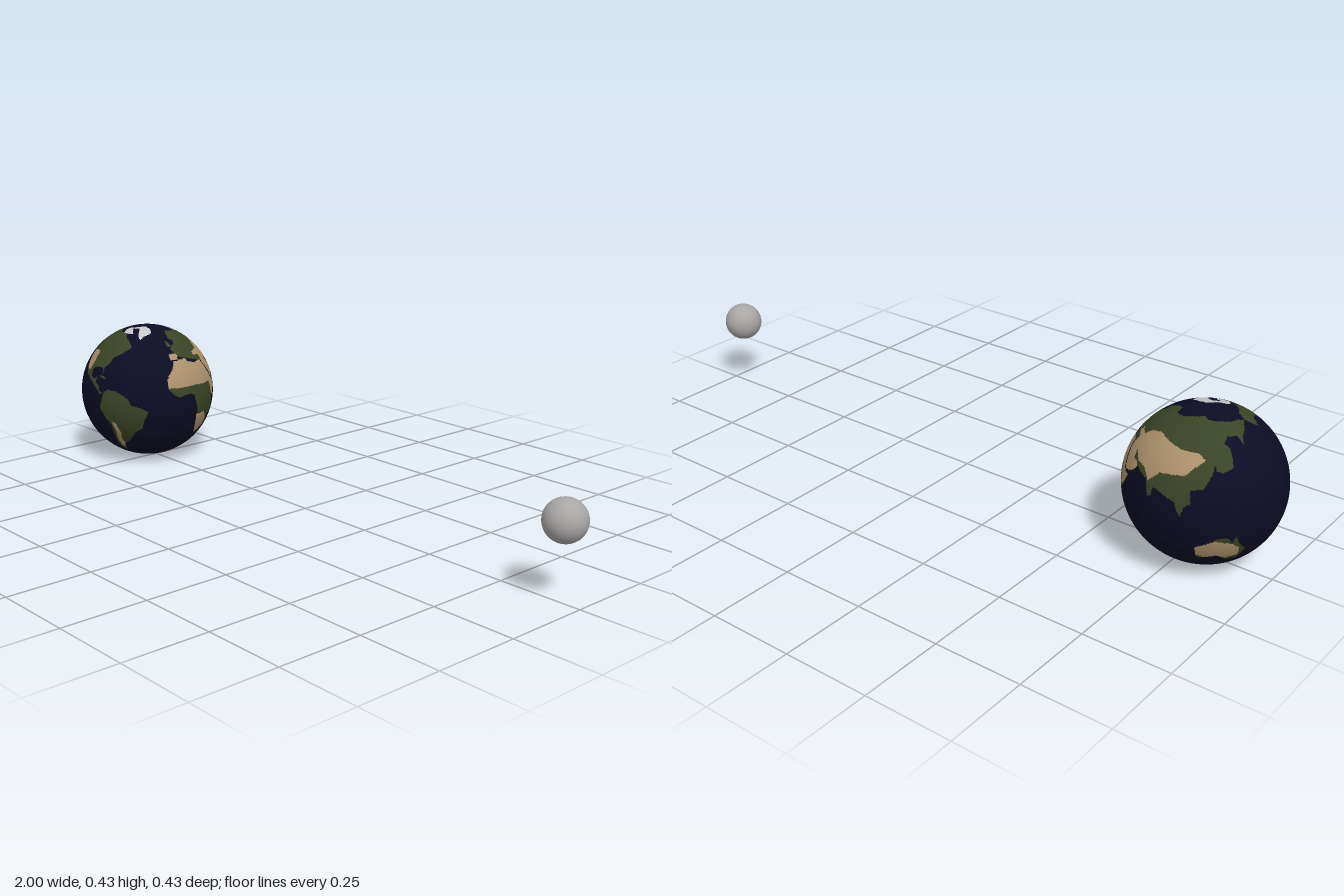
import * as THREE from 'three';

const material = (name, color) => Object.assign(new THREE.MeshStandardMaterial({ color }), { name });

// Coarse land outlines as [longitude, latitude] corners; later ones paint over earlier ones
const OCEAN = 0, GREEN = 1, SAND = 2, ICE = 3;
const regions = [];
const region = (kind, ...points) => regions.push({ kind, points });

// North and Central America
region(GREEN, [-168, 66], [-156, 71], [-128, 70], [-110, 68], [-95, 69], [-82, 67], [-72, 62], [-64, 59],
  [-55, 52], [-65, 45], [-74, 40], [-76, 35], [-81, 30], [-80, 25], [-83, 29], [-90, 29.5], [-97, 27],
  [-97, 20], [-91, 18.5], [-87, 21], [-88, 16], [-83, 14], [-82, 9.5], [-77, 8], [-81, 7], [-86, 11],
  [-94, 16], [-105, 20], [-110, 24], [-117, 33], [-124, 40], [-124, 48], [-133, 57], [-145, 60], [-160, 56], [-165, 61]);
region(SAND, [-121, 41], [-112, 43], [-103, 42], [-101, 32], [-103, 25], [-106, 24], [-111, 25], [-117, 33]);
region(GREEN, [-85, 22], [-80, 23], [-74, 20], [-78, 20]);

// South America
region(GREEN, [-77, 8], [-72, 12], [-62, 10.5], [-52, 5], [-50, 0], [-40, -3], [-35, -6], [-39, -14], [-41, -22],
  [-48, -26], [-54, -34], [-58, -38], [-65, -42], [-67, -50], [-69, -54], [-74, -50], [-73, -38], [-71, -20],
  [-76, -14], [-81, -5], [-79, 1]);
region(SAND, [-70, -17], [-66, -18], [-63, -28], [-65, -36], [-63, -40], [-66, -46], [-71, -48], [-70, -35], [-68, -27]);

// Europe and Asia
region(GREEN, [-9, 43], [-1, 44], [-4, 48], [2, 51], [8, 54], [10, 57], [6, 59], [6, 62], [14, 68], [26, 71],
  [42, 67], [60, 69], [72, 72], [90, 75], [104, 77], [115, 73], [140, 72], [160, 70], [180, 69], [180, 64],
  [170, 60], [162, 57], [157, 51], [155, 58], [142, 59], [135, 54], [141, 50], [140, 37], [131, 34], [126, 35],
  [125, 40], [118, 39], [122, 31], [117, 23], [108, 21], [109, 12], [105, 9]);
region(GREEN, [-180, 69], [-170, 66], [-180, 64]);
region(GREEN, [-9, 43], [3, 43], [9, 44], [13, 43], [18, 40], [16, 38], [19, 42], [23, 37], [26, 41], [34, 45], [60, 50], [100, 50], [105, 30],
  [60, 60], [10, 53], [0, 49], [-1, 44]);
region(GREEN, [60, 65], [140, 60], [125, 40], [122, 31], [117, 23], [108, 21], [109, 12], [105, 9], [103, 2],
  [99, 8], [97, 16], [92, 22], [87, 21], [80, 15], [80, 10], [77, 8], [73, 18], [68, 24], [60, 40]);
region(GREEN, [-6, 50], [1, 51], [-2, 58], [-6, 57]);
region(SAND, [-9, 43], [-1, 43], [2, 41], [-1, 37], [-9, 37]);
region(SAND, [26, 37], [27, 41], [41, 41], [46, 47], [60, 51], [80, 48], [95, 46], [110, 46], [117, 42], [109, 36],
  [103, 30], [90, 28], [82, 27], [78, 22], [74, 18], [72, 21], [67, 25], [57, 26], [50, 30], [48, 30], [36, 32], [36, 36.5]);
region(SAND, [35, 32], [48, 31], [51, 25], [56, 25], [59, 22], [55, 17], [44, 12.5], [39, 21], [35, 28]);

// Africa: desert north, green middle, dry horn and south
region(SAND, [-6, 36], [10, 37], [11, 34], [20, 31], [32, 31.5], [37, 21], [43, 12], [51, 12], [46, 3], [40, -3],
  [34, 4], [30, 11], [-17, 12], [-17, 21], [-10, 29]);
region(GREEN, [-17, 13], [15, 12], [28, 11], [34, 11], [36, 5], [38, -4], [40, -11], [40, -16], [35, -20], [35, -24],
  [30, -22], [24, -15], [13, -13], [13, -8], [9, 0], [9, 4], [4, 6], [-8, 4.5], [-13, 8]);
region(SAND, [12, -14], [24, -14], [30, -21], [34, -25], [31, -30], [26, -34], [19, -35], [15, -27]);

// Australia
region(GREEN, [114, -22], [122, -18], [130, -12], [136, -12], [140, -17], [142, -11], [146, -19], [153, -26],
  [150, -37], [141, -38], [131, -31], [117, -35], [115, -33]);
region(SAND, [114, -22], [122, -18], [128, -15], [140, -18], [147, -23], [149, -32], [139, -35], [131, -31],
  [122, -34], [115, -31]);

// Greenland, the Arctic islands and Antarctica
region(ICE, [-45, 60], [-40, 65], [-22, 70], [-18, 79], [-30, 84], [-70, 84], [-92, 81], [-90, 77], [-66, 79], [-56, 75], [-53, 68]);
region(ICE, [-92, 81], [-115, 77], [-112, 73], [-94, 68], [-76, 68], [-67, 69], [-78, 74], [-88, 76]);
region(ICE, [-180, -78], [-150, -77], [-120, -74], [-75, -73], [-60, -66], [-60, -76], [-35, -78], [-10, -71],
  [30, -69], [55, -66.5], [90, -66.5], [135, -66], [170, -72], [180, -78], [180, -91], [-180, -91]);

// Even-odd test of a point against an outline
function inside(points, x, y) {
  let hit = false;
  points.forEach(([ax, ay], i) => {
    const [bx, by] = points[(i + 1) % points.length];
    if ((ay > y) !== (by > y) && x < ax + ((bx - ax) * (y - ay)) / (by - ay)) hit = !hit;
  });
  return hit;
}

// Sorts the triangles of a sphere into one group for each surface colour
function paintedGlobe(radius) {
  const geometry = new THREE.SphereGeometry(radius, 320, 160);
  const uv = geometry.attributes.uv, index = geometry.index.array;
  const buckets = [[], [], [], []];
  for (let i = 0; i < index.length; i += 3) {
    const corners = [index[i], index[i + 1], index[i + 2]];
    const lon = (corners.reduce((sum, c) => sum + uv.getX(c), 0) / 3 - 0.5) * 360;
    const lat = (corners.reduce((sum, c) => sum + uv.getY(c), 0) / 3 - 0.5) * 180;
    let kind = OCEAN;
    for (const r of regions) if (inside(r.points, lon, lat)) kind = r.kind;
    buckets[kind].push(...corners);
  }
  geometry.setIndex(buckets.flat());
  let start = 0;
  buckets.forEach((bucket, kind) => {
    geometry.addGroup(start, bucket.length, kind);
    start += bucket.length;
  });
  return geometry;
}

export function createModel() {
  const model = new THREE.Group();
  model.name = 'planetAndMoon';

  // Planet with ocean, land and ice
  const planet = new THREE.Mesh(paintedGlobe(0.2155), [
    material('ocean', 0x0c0c24),
    material('greenLand', 0x3a4426),
    material('sand', 0xae936d),
    material('ice', 0xc8c8c8),
  ]);
  planet.name = 'planet';
  planet.position.set(-0.7845, 0.2155, 0);

  // Small grey moon
  const moon = new THREE.Mesh(new THREE.SphereGeometry(0.058, 64, 32), material('moonGrey', 0xa9a7a6));
  moon.name = 'moon';
  moon.position.set(0.942, 0.2155, 0);

  model.add(planet, moon);
  return model;
}
